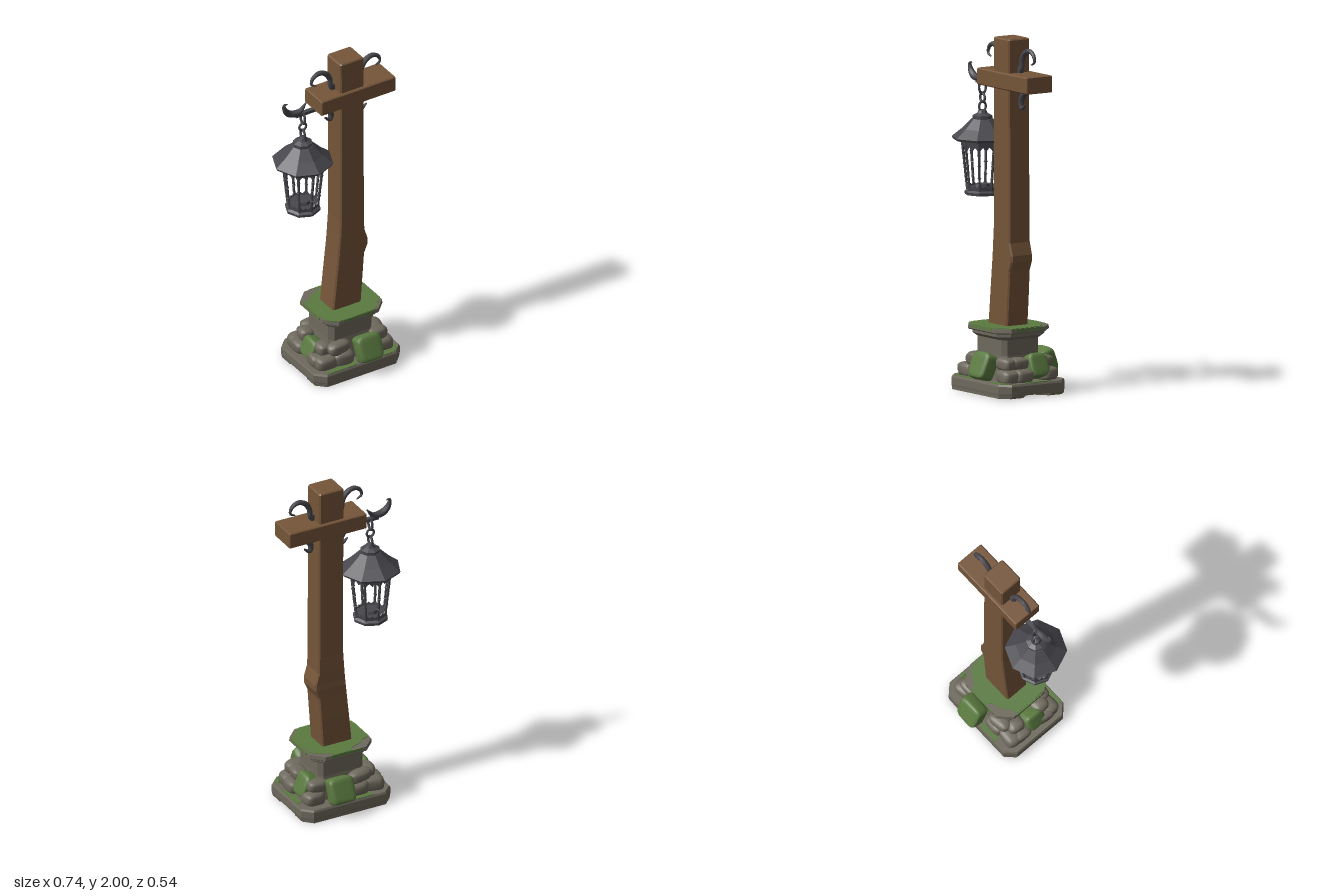
import * as THREE from 'three';

const mat = (name, color) => Object.assign(new THREE.MeshStandardMaterial({ color }), { name });

export function createModel() {
  const wood = mat('wood', 0x755539), metal = mat('iron', 0x47474d);
  const stone = mat('stone', 0x6e695d), moss = mat('moss', 0x5b7a40);
  const root = new THREE.Group();

  const add = (name, geo, material, parent = root) => {
    const m = new THREE.Mesh(geo, material);
    m.name = name;
    parent.add(m);
    return m;
  };
  const flat = (geo) => {
    const g = geo.index ? geo.toNonIndexed() : geo;
    g.computeVertexNormals();
    return g;
  };

  // Stack of chamfered rectangles: each ring is [y, x0, x1, z0, z1, chamfer]
  const loft = (rings) => {
    const R = rings.map(([y, x0, x1, z0, z1, c]) => [
      [x1, z1 - c], [x1 - c, z1], [x0 + c, z1], [x0, z1 - c],
      [x0, z0 + c], [x0 + c, z0], [x1 - c, z0], [x1, z0 + c],
    ].map(([x, z]) => [x, y, z]));
    const pos = [];
    const tri = (...p) => p.forEach((v) => pos.push(...v));
    const top = R[R.length - 1], bottom = R[0];
    for (let i = 0; i < 8; i++) {
      const j = (i + 1) % 8;
      for (let k = 0; k + 1 < R.length; k++) {
        tri(R[k][i], R[k + 1][i], R[k + 1][j]);
        tri(R[k][i], R[k + 1][j], R[k][j]);
      }
      if (i > 0 && i < 7) {
        tri(top[0], top[j], top[i]);
        tri(bottom[0], bottom[i], bottom[j]);
      }
    }
    const g = new THREE.BufferGeometry();
    g.setAttribute('position', new THREE.Float32BufferAttribute(pos, 3));
    return flat(g);
  };

  // Tube through x,y points whose radius follows a rule
  const taperTube = (pts, radius) => {
    const curve = new THREE.CatmullRomCurve3(pts.map(([x, y]) => new THREE.Vector3(x, y, 0)));
    const n = 28, sides = 8, g = new THREE.TubeGeometry(curve, n, 1, sides);
    const p = g.attributes.position, v = new THREE.Vector3();
    for (let i = 0; i < p.count; i++) {
      const t = Math.floor(i / (sides + 1)) / n, c = curve.getPointAt(t);
      v.fromBufferAttribute(p, i).sub(c).multiplyScalar(radius(t)).add(c);
      p.setXYZ(i, v.x, v.y, v.z);
    }
    return g;
  };

  // Thin wavy plate lying flat, with its top at y
  const patch = (pts, y) => {
    const s = new THREE.Shape();
    s.setFromPoints(new THREE.SplineCurve([...pts, pts[0]].map((p) => new THREE.Vector2(...p))).getPoints(48));
    return new THREE.ExtrudeGeometry(s, { depth: 0.007, bevelEnabled: false }).rotateX(Math.PI / 2).translate(0, y, 0);
  };

  // ---- Stone base ----
  add('plinth', loft([
    [0.014, -0.228, 0.338, -0.223, 0.223, 0.055], [0.03, -0.23, 0.34, -0.225, 0.225, 0.055],
    [0.068, -0.23, 0.34, -0.225, 0.225, 0.055], [0.08, -0.224, 0.334, -0.22, 0.22, 0.053],
  ]), stone);
  // Two feet leave a shallow channel under the plinth, with earth marks below
  for (const s of [1, -1]) {
    const z = [0.04 * s, 0.222 * s].sort((a, b) => a - b);
    add('plinthFoot', loft([[0, -0.222, 0.332, ...z, 0.05], [0.015, -0.228, 0.338, ...z, 0.053]]), stone);
    for (const x of [-0.13, 0.06, 0.24])
      add('earthMark', new THREE.CylinderGeometry(0.03, 0.03, 0.004, 10).translate(x, 0.0015, 0.13 * s), wood);
  }
  add('pedestalNeck', loft([
    [0.07, -0.11, 0.22, -0.145, 0.145, 0.03], [0.22, -0.09, 0.195, -0.125, 0.125, 0.025],
    [0.325, -0.09, 0.195, -0.125, 0.125, 0.025],
  ]), stone);
  add('capMoulding', loft([
    [0.31, -0.09, 0.2, -0.13, 0.13, 0.03], [0.33, -0.115, 0.235, -0.16, 0.16, 0.055],
    [0.352, -0.115, 0.235, -0.16, 0.16, 0.055],
  ]), stone);
  add('capSlab', loft([
    [0.35, -0.135, 0.253, -0.18, 0.18, 0.068], [0.356, -0.14, 0.258, -0.185, 0.185, 0.068],
    [0.378, -0.138, 0.256, -0.183, 0.183, 0.068],
  ]), stone);
  add('capMoss', patch([
    [-0.132, -0.09], [-0.09, -0.1], [-0.06, -0.13], [0, -0.15], [0.03, -0.18], [0.12, -0.182], [0.16, -0.15],
    [0.2, -0.128], [0.235, -0.1], [0.252, 0], [0.25, 0.1], [0.215, 0.13], [0.17, 0.178], [0.05, 0.181], [-0.06, 0.18], [-0.13, 0.115],
  ], 0.381), moss);
  // Moss creeping over the cap's edges
  for (const s of [1, -1]) {
    add('capEdgeMoss', new THREE.BoxGeometry(0.2, 0.016, 0.006).translate(0.06, 0.371, 0.183 * s), moss);
    add('capEdgeMoss', new THREE.BoxGeometry(0.006, 0.016, 0.18).translate(0.059 + 0.197 * s, 0.371, 0), moss);
  }

  // Rounded stones; a lower power gives a boxier one
  const boulder = (seed, power) => {
    const g = new THREE.SphereGeometry(1, 20, 14), p = g.attributes.position;
    for (let i = 0; i < p.count; i++) {
      const q = [p.getX(i), p.getY(i), p.getZ(i)];
      const k = 1 + 0.05 * Math.sin(3 * q[0] + seed) * Math.cos(4 * q[1] + 2 * q[2] + seed);
      p.setXYZ(i, ...q.map((c) => (Math.abs(c) < 1e-6 ? 0 : Math.sign(c) * Math.abs(c) ** power * k)));
    }
    g.computeVertexNormals();
    return g;
  };
  const rocks = [ // x, y, z, half sizes
    [-0.13, 0.11, 0.135, 0.07, 0.042, 0.052], [-0.03, 0.11, 0.15, 0.065, 0.045, 0.045],
    [0.24, 0.11, 0.13, 0.065, 0.042, 0.055], [-0.05, 0.18, 0.14, 0.07, 0.036, 0.04],
    [0.215, 0.18, 0.125, 0.06, 0.036, 0.045], [-0.12, 0.175, 0.09, 0.045, 0.036, 0.05],
    [-0.155, 0.11, 0.085, 0.05, 0.04, 0.06],
  ];
  const placeRock = ([x, y, z, a, b, c], i) => {
    const m = add('boulder', boulder(i * 1.7, 0.65), stone);
    m.position.set(x, y, z);
    m.scale.set(a, b, c);
    m.rotation.set(0, 0.15 * Math.sin(i * 5), 0.08 * Math.sin(i * 3));
  };
  rocks.forEach(placeRock);
  rocks.forEach(([x, y, z, ...size], i) => placeRock([x, y, -z, ...size], i + 11));
  [[0.27, 0.11, 0.05, 0.045, 0.042, 0.06], [0.235, 0.18, 0.055, 0.045, 0.034, 0.055]].forEach(placeRock);

  // Mossy slabs leaning against each side: position, half width, half height, turn
  for (const [x, y, z, w, h, turn] of [
    [0.107, 0.16, 0.205, 0.078, 0.078, 0], [0.107, 0.16, -0.208, 0.078, 0.078, Math.PI],
    [0.245, 0.158, -0.06, 0.062, 0.068, Math.PI / 2], [-0.14, 0.142, 0.02, 0.062, 0.058, -Math.PI / 2],
  ]) {
    const m = add('mossyStone', boulder(x * 9 + z, 0.42), moss);
    m.position.set(x, y, z);
    m.scale.set(w, h, 0.047);
    m.rotation.set(-0.38, turn, 0, 'YXZ');
  }

  // Moss on the plinth ledge
  for (const pts of [
    [[-0.16, 0.195], [-0.1, 0.185], [0.02, 0.18], [0.03, 0.216], [-0.06, 0.218], [-0.155, 0.217]],
    [[0.19, 0.19], [0.26, 0.175], [0.3, 0.15], [0.322, 0.165], [0.28, 0.213], [0.2, 0.217]],
    [[-0.1, -0.217], [0.02, -0.217], [0.02, -0.17], [-0.04, -0.18], [-0.08, -0.17]],
    [[0.3, -0.1], [0.328, -0.1], [0.328, 0.06], [0.3, 0.03]],
  ]) add('ledgeMoss', patch(pts, 0.083), moss);

  // ---- Timber ----
  add('post', loft([
    [0.37, -0.04, 0.147, -0.073, 0.072, 0.008], [0.55, -0.022, 0.16, -0.074, 0.072, 0.008],
    [0.69, -0.008, 0.17, -0.073, 0.072, 0.008], [0.745, -0.003, 0.194, -0.073, 0.072, 0.009],
    [0.78, 0, 0.194, -0.072, 0.072, 0.009], [0.85, 0.006, 0.172, -0.072, 0.072, 0.008],
    [0.95, 0.012, 0.17, -0.071, 0.071, 0.008], [1.4, 0.012, 0.168, -0.071, 0.071, 0.008],
    [1.993, 0.01, 0.166, -0.071, 0.071, 0.008], [2, 0.016, 0.16, -0.065, 0.065, 0.007],
  ]), wood);
  // Lofted upright, then laid along x
  add('crossBeam', loft([
    [-0.125, -1.806, -1.719, -0.084, 0.084, 0.005], [-0.121, -1.81, -1.715, -0.088, 0.088, 0.006],
    [0.361, -1.81, -1.715, -0.088, 0.088, 0.006], [0.365, -1.806, -1.719, -0.084, 0.084, 0.005],
  ]).rotateZ(-Math.PI / 2), wood);

  // ---- Ironwork ----
  const centre = 0.088;
  for (const s of [1, -1]) {
    const side = (pts) => pts.map(([x, y]) => [centre + s * (x - centre), y]);
    add('topScroll', taperTube(side([[0.165, 1.8], [0.188, 1.835], [0.192, 1.88], [0.22, 1.925], [0.264, 1.942],
      [0.304, 1.922], [0.314, 1.885], [0.283, 1.866]]), (t) => 0.004 + 0.012 * Math.sin(Math.PI * (0.2 + 0.8 * t))), metal);
    add('lowerBracket', taperTube(side([[0.255, 1.708], [0.21, 1.69], [0.185, 1.65], [0.19, 1.612], [0.228, 1.635]]),
      (t) => 0.004 + 0.014 * Math.sin(Math.PI * (0.15 + 0.85 * t))), metal);
    add('scrollFoot', new THREE.BoxGeometry(0.03, 0.04, 0.026).translate(centre + s * 0.085, 1.825, 0), metal);
  }
  add('lanternArm', new THREE.BoxGeometry(0.265, 0.018, 0.026).translate(-0.112, 1.714, 0), metal);
  add('crescentHook', taperTube([[-0.295, 1.808], [-0.318, 1.81], [-0.31, 1.77], [-0.272, 1.736], [-0.215, 1.734], [-0.17, 1.782]],
    (t) => 0.003 + 0.018 * Math.sin(Math.PI * t) ** 1.2), metal);

  // ---- Lantern ----
  const lantern = new THREE.Group();
  lantern.name = 'lantern';
  lantern.position.x = -0.195;
  root.add(lantern);
  [[1.683, 1.5, 1], [1.625, 1, 0], [1.575, 1.2, 1]].forEach(([y, sy, turned]) => {
    const link = add('chainLink', new THREE.TorusGeometry(0.023, 0.007, 6, 16), metal, lantern);
    link.position.y = y;
    link.scale.y = sy;
    link.rotation.y = turned * Math.PI / 2;
  });
  const octagon = (pts) => flat(new THREE.LatheGeometry(pts.map((p) => new THREE.Vector2(...p)), 8));
  add('roof', octagon([[0, 1.41], [0.12, 1.4], [0.168, 1.39], [0.175, 1.403], [0.115, 1.452], [0.06, 1.508], [0, 1.51]]), metal, lantern);
  add('roofCollar', octagon([[0, 1.495], [0.048, 1.5], [0.056, 1.51], [0.056, 1.525], [0.03, 1.538], [0.022, 1.555], [0, 1.56]]), metal, lantern);
  add('cageTop', octagon([[0.1, 1.37], [0.12, 1.37], [0.124, 1.405], [0.1, 1.405], [0.1, 1.37]]), metal, lantern);
  add('floor', octagon([[0, 1.08], [0.1, 1.08], [0.102, 1.096], [0.088, 1.106], [0.088, 1.12], [0.045, 1.122], [0.04, 1.14], [0, 1.14]]), metal, lantern);

  // Pierced trims: scalloped top and waved bottom
  const plate = (build) => {
    const s = new THREE.Shape();
    build(s);
    return new THREE.ExtrudeGeometry(s, { depth: 0.007, bevelEnabled: false, curveSegments: 6 });
  };
  const topTrim = plate((s) => {
    s.moveTo(-0.044, 0); s.lineTo(-0.042, -0.075);
    s.quadraticCurveTo(-0.034, -0.035, -0.016, -0.03); s.lineTo(0, -0.05);
    s.lineTo(0.016, -0.03); s.quadraticCurveTo(0.034, -0.035, 0.042, -0.075); s.lineTo(0.044, 0);
  });
  const bottomTrim = plate((s) => {
    s.moveTo(-0.033, 0); s.lineTo(0.033, 0); s.lineTo(0.035, 0.045);
    s.quadraticCurveTo(0.026, 0.018, 0.012, 0.016); s.lineTo(0, 0.026);
    s.lineTo(-0.012, 0.016); s.quadraticCurveTo(-0.026, 0.018, -0.035, 0.045);
  });
  for (let i = 0; i < 8; i++) {
    const corner = new THREE.Group(), face = new THREE.Group();
    corner.name = 'cageCorner';
    face.name = 'cageFace';
    corner.rotation.y = i * Math.PI / 4;
    face.rotation.y = (i + 0.5) * Math.PI / 4;
    lantern.add(corner, face);
    const bar = add('cageBar', new THREE.CylinderGeometry(0.008, 0.007, 0.28, 6), metal, corner);
    bar.position.set(0, 1.245, 0.101);
    bar.rotation.x = 0.105;
    for (const [y, z] of [[1.18, 0.094], [1.25, 0.101], [1.315, 0.108]])
      add('barKnot', new THREE.OctahedronGeometry(0.012).translate(0, y, z), metal, corner);
    for (const [geo, y, z] of [[topTrim, 1.385, 0.102], [bottomTrim, 1.11, 0.077]]) {
      const t = add('cageTrim', geo, metal, face);
      t.position.set(0, y, z);
      t.rotation.x = 0.09;
    }
  }
  return root;
}
